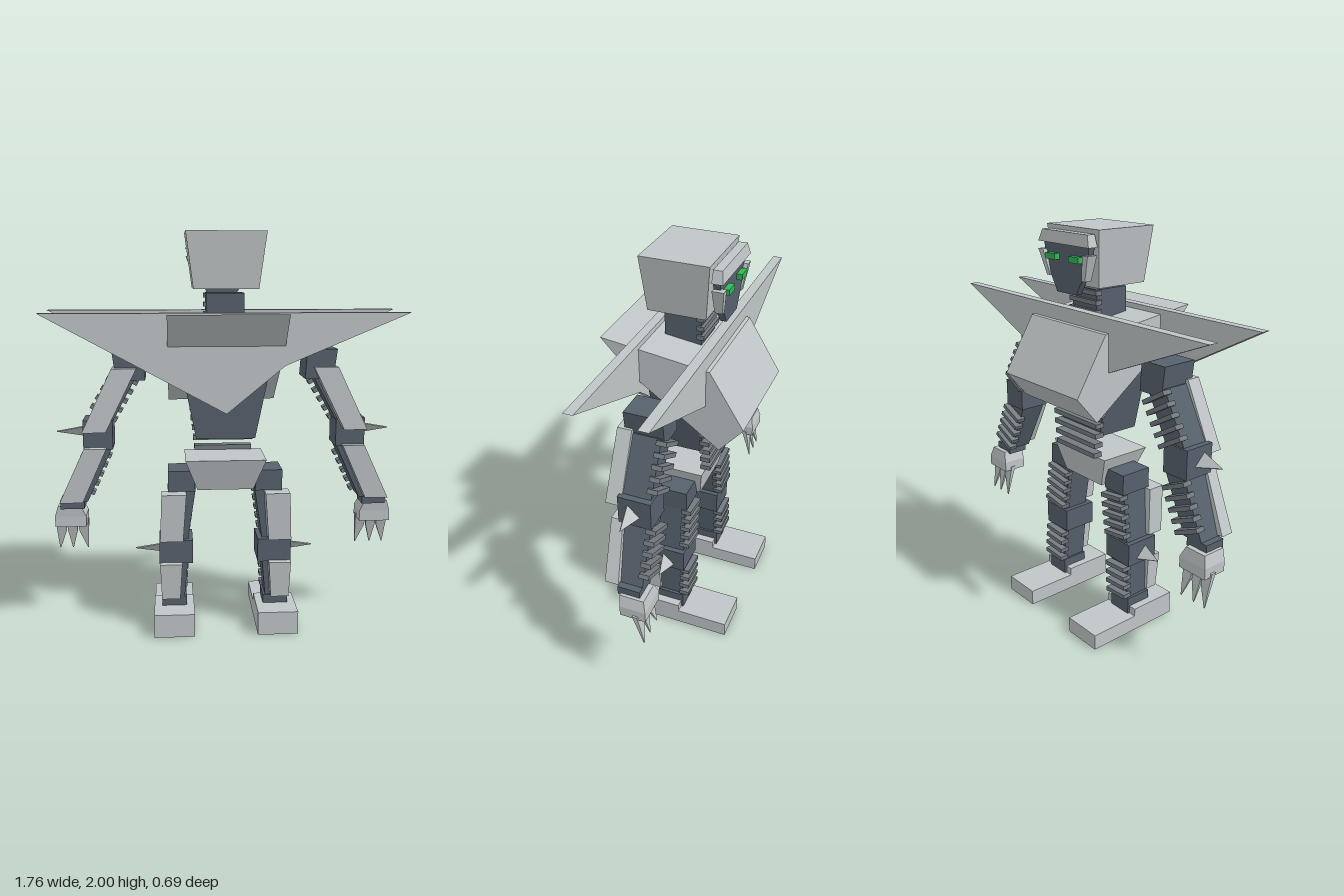
import * as THREE from 'three';

const paint = (name, color, side = THREE.FrontSide) => {
  const m = new THREE.MeshStandardMaterial({ color, side });
  m.name = name;
  return m;
};

export function createModel() {
  const light = paint('light armour', 0xc0c5c7);
  const slate = paint('dark slate', 0x56616c);
  const rib = paint('rib grey', 0x747b81);
  const green = paint('eye green', 0x35b558);

  const model = new THREE.Group();
  model.name = 'robot';
  let parent = model;
  const add = (name, geometry, material) => {
    const mesh = new THREE.Mesh(geometry, material);
    mesh.name = name;
    parent.add(mesh);
    return mesh;
  };

  // Six-sided block between two rectangles; each is [x0, x1, z0, z1]
  const block = (name, mat, y0, low, y1, high = low, s = 1) => {
    const g = new THREE.BoxGeometry(1, 1, 1);
    const p = g.attributes.position;
    for (let i = 0; i < p.count; i++) {
      const up = p.getY(i) > 0;
      const [x0, x1, z0, z1] = up ? high : low;
      const outer = p.getX(i) * s > 0;
      p.setXYZ(i, s * (outer ? x1 : x0), up ? y1 : y0, p.getZ(i) > 0 ? z1 : z0);
    }
    g.computeVertexNormals();
    return add(name, g, mat);
  };

  // Flat plate cut from an x/y outline
  const plate = (name, mat, points, z0, z1) => {
    const shape = new THREE.Shape(points.map(([x, y]) => new THREE.Vector2(x, y)));
    const g = new THREE.ExtrudeGeometry(shape, { depth: z1 - z0, bevelEnabled: false });
    return add(name, g.translate(0, 0, z0), mat);
  };

  // Row of ribs behind a limb, running from point a to point b
  const ribs = (name, a, b, count, width, s) => {
    const tilt = Math.atan2(b[0] - a[0], a[1] - b[1]);
    for (let i = 0; i < count; i++) {
      const t = (i + 0.5) / count;
      const r = add(name, new THREE.BoxGeometry(width, 0.022, 0.05), rib);
      r.position.set(s * (a[0] + (b[0] - a[0]) * t), a[1] + (b[1] - a[1]) * t, -0.068);
      r.rotation.z = s * tilt;
    }
  };

  // Thin slanted spike pointing outwards
  const spike = (name, x0, x1, y, s) => {
    const shape = new THREE.Shape([
      new THREE.Vector2(s * x0, -0.042), new THREE.Vector2(s * x1, 0), new THREE.Vector2(s * x0, 0.042)]);
    const g = new THREE.ExtrudeGeometry(shape, { depth: 0.006, bevelEnabled: false });
    g.translate(0, 0, -0.003).rotateX(Math.PI / 4);
    add(name, g, light).position.set(0, y, 0.015);
  };

  // Head and neck
  block('head', light, 1.735, [-0.155, 0.155, -0.115, 0.165], 2, [-0.19, 0.19, -0.143, 0.185]);
  block('neck', slate, 1.55, [-0.09, 0.09, -0.07, 0.11], 1.715);
  for (const y of [1.61, 1.655, 1.7])
    block('neckRib', rib, y - 0.011, [-0.1, 0.1, -0.085, -0.05], y + 0.011);

  // Face mask
  plate('face', slate, [[-0.165, 1.93], [-0.15, 1.83], [-0.07, 1.7], [0.07, 1.7], [0.15, 1.83], [0.165, 1.93]], -0.18, -0.148);
  block('brow', light, 1.925, [-0.185, 0.185, -0.2, -0.148], 1.98, [-0.165, 0.165, -0.19, -0.148]);
  for (const s of [1, -1]) {
    block('cheek', light, 1.77, [0.115, 0.14, -0.185, -0.148], 1.89, [0.145, 0.182, -0.203, -0.148], s);
    block('eye', green, 1.85, [0.05, 0.12, -0.207, -0.178], 1.878, [0.05, 0.12, -0.207, -0.178], s);
  }

  // Chest prism, drawn as a side profile and extruded across x
  const profile = [[0.345, 1.625], [-0.18, 1.555], [-0.345, 1.285], [-0.23, 1.15], [0.19, 1.455]];
  const chest = new THREE.ExtrudeGeometry(
    new THREE.Shape(profile.map(([z, y]) => new THREE.Vector2(-z, y))), { depth: 0.56, bevelEnabled: false });
  add('chest', chest.translate(0, 0, -0.28).rotateY(Math.PI / 2), light);

  // Wide shoulder plates
  plate('frontShoulderPlate', light, [[-0.88, 1.625], [0, 1.145], [0.28, 1.375], [0.88, 1.625]], 0.158, 0.203);
  plate('backShoulderPlate', light, [[-0.88, 1.625], [-0.28, 1.375], [0.28, 1.375], [0.88, 1.625]], -0.163, -0.115);

  // Waist, spine and pelvis
  block('torso', slate, 1.01, [-0.145, 0.145, -0.1, 0.13], 1.46, [-0.235, 0.235, -0.1, 0.15]);
  for (let i = 0; i < 6; i++) {
    const y = 0.918 + i * 0.052, w = 0.148 + i * 0.006;
    block('spineRib', rib, y - 0.012, [-w, w, -0.14, -0.09], y + 0.012);
  }
  block('pelvis', light, 0.745, [-0.14, 0.14, -0.085, 0.11], 0.905, [-0.2, 0.2, -0.115, 0.16]);

  for (const s of [1, -1]) {
    const side = s > 0 ? 'left' : 'right';

    // Arm
    parent = new THREE.Group();
    parent.name = side + 'Arm';
    model.add(parent);
    block('shoulder', slate, 1.3, [0.39, 0.53, -0.07, 0.115], 1.445, [0.4, 0.548, -0.07, 0.115], s);
    block('upperArm', slate, 1.08, [0.56, 0.68, -0.06, 0.08], 1.34, [0.42, 0.54, -0.06, 0.08], s);
    block('upperArmArmour', light, 1.05, [0.585, 0.7, 0.075, 0.15], 1.36, [0.43, 0.55, 0.075, 0.145], s);
    ribs('upperArmRib', [0.485, 1.32], [0.62, 1.09], 5, 0.15, s);
    block('elbow', slate, 0.955, [0.555, 0.7, -0.07, 0.09], 1.1, [0.555, 0.7, -0.07, 0.09], s);
    spike('elbowSpike', 0.695, 0.835, 1.035, s);
    block('forearm', slate, 0.68, [0.69, 0.8, -0.06, 0.06], 0.96, [0.56, 0.68, -0.06, 0.08], s);
    block('forearmArmour', light, 0.69, [0.71, 0.825, 0.048, 0.115], 0.965, [0.585, 0.695, 0.07, 0.128], s);
    ribs('forearmRib', [0.63, 0.94], [0.74, 0.7], 5, 0.145, s);
    block('wrist', slate, 0.64, [0.71, 0.83, -0.06, 0.05], 0.685, [0.71, 0.83, -0.06, 0.05], s);
    block('palm', light, 0.54, [0.705, 0.862, -0.098, 0.03], 0.595, [0.705, 0.862, -0.098, 0.03], s);
    block('backOfHand', light, 0.595, [0.705, 0.862, -0.098, 0.03], 0.65, [0.73, 0.845, -0.085, 0.035], s);
    [[0.728, 0.712], [0.786, 0.79], [0.842, 0.857]].forEach(([x, tip]) => {
      block('clawBase', light, 0.49, [x - 0.024, x + 0.024, -0.072, -0.055], 0.56,
        [x - 0.029, x + 0.029, -0.06, -0.035], s);
      block('clawTip', light, 0.39, [tip - 0.002, tip + 0.002, -0.086, -0.082], 0.49,
        [x - 0.024, x + 0.024, -0.072, -0.055], s);
    });

    // Leg
    parent = new THREE.Group();
    parent.name = side + 'Leg';
    model.add(parent);
    block('hip', slate, 0.735, [0.15, 0.287, -0.07, 0.1], 0.84, [0.16, 0.287, -0.07, 0.1], s);
    block('thigh', slate, 0.47, [0.19, 0.31, -0.06, 0.08], 0.75, [0.148, 0.28, -0.06, 0.09], s);
    block('thighArmour', light, 0.49, [0.215, 0.33, 0.07, 0.155], 0.735, [0.197, 0.32, 0.08, 0.168], s);
    ribs('thighRib', [0.215, 0.735], [0.25, 0.49], 5, 0.145, s);
    block('knee', slate, 0.36, [0.165, 0.335, -0.07, 0.11], 0.48, [0.165, 0.335, -0.07, 0.11], s);
    spike('kneeSpike', 0.33, 0.457, 0.415, s);
    block('shin', slate, 0.15, [0.21, 0.31, -0.055, 0.075], 0.37, [0.19, 0.31, -0.055, 0.08], s);
    block('shinArmour', light, 0.175, [0.232, 0.325, 0.068, 0.13], 0.365, [0.22, 0.332, 0.068, 0.146], s);
    ribs('shinRib', [0.25, 0.36], [0.262, 0.16], 4, 0.135, s);
    block('ankle', slate, 0.08, [0.198, 0.325, -0.062, 0.08], 0.165, [0.198, 0.325, -0.062, 0.08], s);
    block('heel', light, 0, [0.16, 0.365, -0.05, 0.203], 0.12, [0.16, 0.365, -0.05, 0.203], s);
    block('toe', light, 0, [0.16, 0.365, -0.315, -0.05], 0.08, [0.16, 0.365, -0.315, -0.05], s);
  }

  // Right-hand blocks are built in sorted order, so every face points outwards
  return model;
}
